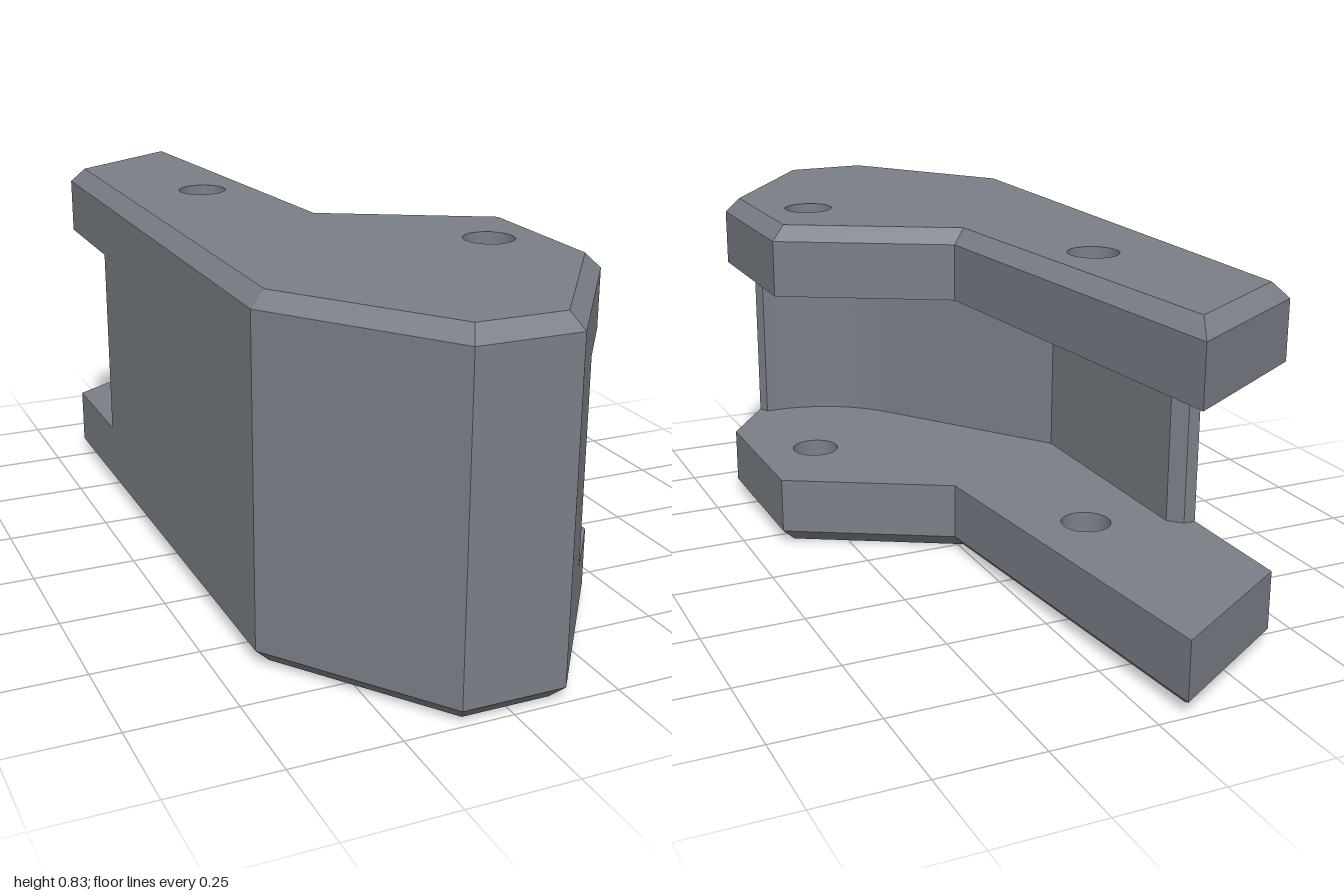
import * as THREE from 'three';
import { toCreasedNormals, mergeGeometries } from 'three/addons/utils/BufferGeometryUtils.js';

const HEIGHT = 0.833, CHAMFER = 0.035, SLOT_LOW = 0.175, SLOT_HIGH = 0.66;
const SLOT_FRONT = [0.288, 0.7712], SLOT_BACK = [-0.41, -0.472];

// All loops are [x, z] points, counter-clockwise seen from above
const outline = [[-0.12, 1], [0.12, 1], SLOT_FRONT, [0.41, 0.605], [0.41, 0.19], [0.02, -0.025],
  [-0.068, -1], [-0.41, -0.787], SLOT_BACK, [-0.41, 0.605]];

const pins = [[-0.17, -0.37], [0.25, 0.39]];

// Inner face of the slot: an arc about the front pin, a tangent slope, then a straight side wall
const slotCurve = [SLOT_FRONT, [0.275, 0.745]];
for (let i = 0; i <= 12; i++) {
  const a = THREE.MathUtils.degToRad(90 + 54.5 * i / 12);
  slotCurve.push([pins[1][0] + 0.355 * Math.cos(a), pins[1][1] + 0.355 * Math.sin(a)]);
}
slotCurve.push([-0.35, 0.16], [-0.35, -0.44], [-0.38, -0.472], SLOT_BACK);

const spineLoop = [...slotCurve, [-0.41, 0.605], [-0.12, 1], [0.12, 1]];
const slotLoop = [...outline.slice(3, 8), ...slotCurve.slice().reverse()];

// Pin holes run clockwise so that their walls face inward
const pinHoles = pins.map(([x, z]) =>
  Array.from({ length: 32 }, (_, i) => {
    const a = i / 32 * Math.PI * 2;
    return [x + 0.06 * Math.cos(a), z + 0.06 * Math.sin(a)];
  }));

// Mitred inward offset of a loop
function inset(loop, d) {
  const n = loop.length;
  const normal = (a, b) => {
    const dx = b[0] - a[0], dz = b[1] - a[1], l = Math.hypot(dx, dz);
    return [dz / l, -dx / l];
  };
  return loop.map((p, i) => {
    const u = normal(loop[(i + n - 1) % n], p), v = normal(p, loop[(i + 1) % n]);
    const k = d / (1 + u[0] * v[0] + u[1] * v[1]);
    return [p[0] + (u[0] + v[0]) * k, p[1] + (u[1] + v[1]) * k];
  });
}

// Band of faces between two matching loops at two heights
function band(low, y0, high, y1) {
  const pos = [];
  low.forEach((p, i) => {
    const j = (i + 1) % low.length;
    const a = [p[0], y0, p[1]], b = [low[j][0], y0, low[j][1]];
    const c = [high[j][0], y1, high[j][1]], d = [high[i][0], y1, high[i][1]];
    pos.push(...a, ...b, ...c, ...a, ...c, ...d);
  });
  const g = new THREE.BufferGeometry();
  g.setAttribute('position', new THREE.Float32BufferAttribute(pos, 3));
  return g;
}

// Flat face with the pin holes cut out, looking up or down
function cap(loop, y, up) {
  const s = up ? -1 : 1;
  const points = l => l.map(([x, z]) => new THREE.Vector2(x, s * z));
  const shape = new THREE.Shape(points(loop));
  shape.holes = pinHoles.map(h => new THREE.Path(points(h)));
  const g = new THREE.ShapeGeometry(shape).rotateX(s * Math.PI / 2).translate(0, y, 0).toNonIndexed();
  g.deleteAttribute('uv');
  g.deleteAttribute('normal');
  return g;
}

export function createModel() {
  const group = new THREE.Group();
  const material = new THREE.MeshStandardMaterial({ color: 0x7a7f87 });
  const add = (name, parts) => {
    const mesh = new THREE.Mesh(toCreasedNormals(mergeGeometries(parts), 0.3), material);
    mesh.name = name;
    group.add(mesh);
  };
  const rim = inset(outline, CHAMFER);
  const bores = (y0, y1) => pinHoles.map(h => band(h, y0, h, y1));

  // Lower plate with chamfered bottom edge
  add('lowerPlate', [
    cap(rim, 0, false),
    band(rim, 0, outline, CHAMFER),
    band(outline, CHAMFER, outline, SLOT_LOW),
    cap(slotLoop, SLOT_LOW, true),
    ...bores(0, SLOT_LOW),
  ]);

  // Upper plate with chamfered top edge
  add('upperPlate', [
    cap(slotLoop, SLOT_HIGH, false),
    band(outline, SLOT_HIGH, outline, HEIGHT - CHAMFER),
    band(outline, HEIGHT - CHAMFER, rim, HEIGHT),
    cap(rim, HEIGHT, true),
    ...bores(SLOT_HIGH, HEIGHT),
  ]);

  // Curved wall joining the plates
  add('connectingWall', [band(spineLoop, SLOT_LOW, spineLoop, SLOT_HIGH)]);
  return group;
}
